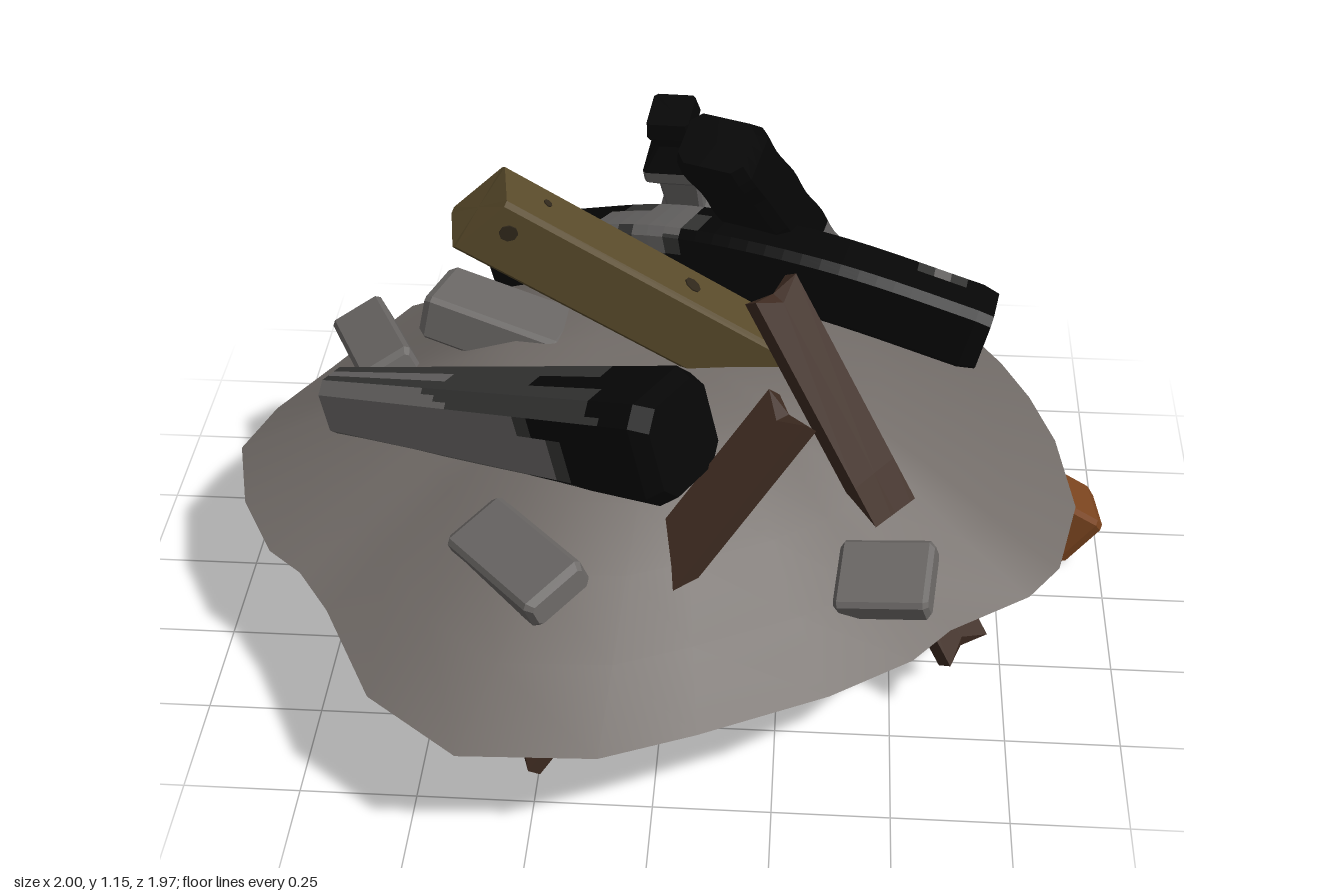
import * as THREE from 'three';

const V3 = (x, y, z) => new THREE.Vector3(x, y, z);
const mat = (name, color, extra = {}) => Object.assign(new THREE.MeshStandardMaterial({ color, ...extra }), { name });

// Chamfered rectangle: sides 0 +u, 2 +v, 4 -u, 6 -v; odd sides are chamfers
function chamfered(a, b, c) {
  return [[a, c - b], [a, b - c], [a - c, b], [c - a, b], [-a, b - c], [-a, c - b], [c - a, -b], [a - c, -b]];
}

// Cut every side of a profile into three, for finer patches of colour
const finer = prof => prof.flatMap(([u, v], j) => {
  const [p, q] = prof[(j + 1) % prof.length];
  return [0, 1 / 3, 2 / 3].map(t => [u + (p - u) * t, v + (q - v) * t]);
});

// Right-handed frame with d along the part and u close to the hint
function frame(dir, hint) {
  const d = dir.clone().normalize();
  const u = hint.clone().addScaledVector(d, -hint.dot(d)).normalize();
  return { d, u, v: d.clone().cross(u) };
}

const place = (p, f, u, v, d = 0) => p.clone().addScaledVector(f.u, u).addScaledVector(f.v, v).addScaledVector(f.d, d);

// Skin a row of rings; pick(i, j, point) gives the material index of each cell
function loft(name, rings, mats, pick = () => 0) {
  const buckets = mats.map(() => []);
  const n = rings[0].length;
  const tri = (m, ...ps) => ps.forEach(p => buckets[m].push(p.x, p.y, p.z));
  for (let i = 0; i < rings.length - 1; i++) {
    for (let j = 0; j < n; j++) {
      const k = (j + 1) % n, m = pick(i, j, rings[i][j].clone().lerp(rings[i + 1][k], 0.5));
      tri(m, rings[i][j], rings[i][k], rings[i + 1][k]);
      tri(m, rings[i][j], rings[i + 1][k], rings[i + 1][j]);
    }
  }
  [0, rings.length - 1].forEach((r, end) => {
    const c = V3(0, 0, 0);
    rings[r].forEach(p => c.addScaledVector(p, 1 / n));
    for (let j = 0; j < n; j++) {
      const k = (j + 1) % n, m = pick(end ? r : -1, j, rings[r][j]);
      if (end) tri(m, c, rings[r][j], rings[r][k]);
      else tri(m, c, rings[r][k], rings[r][j]);
    }
  });
  const geo = new THREE.BufferGeometry();
  geo.setAttribute('position', new THREE.Float32BufferAttribute(buckets.flat(), 3));
  let start = 0;
  buckets.forEach((b, m) => {
    if (b.length) geo.addGroup(start, b.length / 3, m);
    start += b.length / 3;
  });
  geo.computeVertexNormals();
  const mesh = new THREE.Mesh(geo, mats);
  mesh.name = name;
  return mesh;
}

// Straight part; stations are [t, profile]
function straight(name, a, b, hint, stations, mats, pick) {
  const f = frame(b.clone().sub(a), hint);
  const rings = stations.map(([t, prof]) => prof.map(([u, v, d]) => place(a.clone().lerp(b, t), f, u, v, d || 0)));
  return loft(name, rings, mats, pick);
}

// Ash patches: light in the middle, soot at the edge; each blob is [x, y, z, radius]
const patches = blobs => (i, j, p) => {
  const q = Math.min(...blobs.map(([x, y, z, r]) => p.distanceTo(V3(x, y, z)) / r));
  return q < 0.75 ? 2 : q < 1 ? 1 : 0;
};

export function createModel() {
  const g = new THREE.Group();
  g.name = 'rubblePile';
  const dirt = mat('ash mound', 0x736d69, { side: THREE.DoubleSide });
  const stone = mat('stone', 0x6b6866);
  const black = mat('charred black', 0x060606);
  const soot = mat('soot grey', 0x343433);
  const ash = mat('ash grey', 0x666463);
  const olive = mat('weathered wood', 0x5a4b2b);
  const orange = mat('fresh wood', 0x7a441f);
  const brown = mat('dark wood', 0x3e2b21);
  const rust = mat('nail', 0x30281b);
  const char = [black, soot, ash];

  // Mound: open shell with an irregular rim
  const rim = [[0.16, -0.99], [-0.05, -0.98], [-0.3, -0.93], [-0.39, -0.9], [-0.48, -0.75], [-0.7, -0.62],
    [-0.85, -0.34], [-0.95, -0.16], [-1, 0], [-0.95, 0.2], [-0.86, 0.37], [-0.78, 0.44], [-0.7, 0.56],
    [-0.57, 0.82], [-0.37, 0.98], [-0.09, 0.97], [0.1, 0.89], [0.36, 0.76], [0.53, 0.64], [0.61, 0.54],
    [0.78, 0.42], [0.85, 0.32], [0.9, 0.1], [0.87, -0.15], [0.82, -0.32], [0.76, -0.46], [0.66, -0.63], [0.36, -0.84]];
  const levels = [[0.18, 0.675], [0.36, 0.66], [0.5, 0.605], [0.65, 0.53], [0.82, 0.435], [1, 0.345]];
  const pos = [0, 0.68, 0], idx = [], n = rim.length;
  levels.forEach(([t, y], r) => rim.forEach(([x, z], j) => {
    pos.push(x * t, y, z * t);
    const k = (j + 1) % n, p = 1 + r * n;
    if (r === 0) idx.push(0, p + j, p + k);
    else idx.push(p - n + j, p + j, p + k, p - n + j, p + k, p - n + k);
  }));
  const shell = new THREE.BufferGeometry();
  shell.setAttribute('position', new THREE.Float32BufferAttribute(pos, 3));
  shell.setIndex(idx);
  shell.computeVertexNormals();
  const mound = new THREE.Mesh(shell, dirt);
  mound.name = 'mound';
  g.add(mound);

  // Long beam: weathered above, fresh below, with a weathered end face
  const a = V3(-0.4, 1.095, 0.14), b = V3(0.95, 0.065, -0.185), hint = V3(0, 0, 1);
  const sec = chamfered(0.068, 0.08, 0.01);
  const notched = sec.map(([u, v]) => [u, v, v > 0 ? -0.01 : 0.015]);
  g.add(straight('longBeam', a, b, hint, [[0, notched], [0.62, sec], [0.985, sec], [1, chamfered(0.06, 0.07, 0.01)]],
    [olive, orange], i => (i === 1 || i === 2 ? 1 : 0)));
  const bf = frame(b.clone().sub(a), hint);
  for (const [t, side, r, onTop] of [[0.29, 0, 0.02, 1], [0.07, -0.01, 0.01, 1], [0.035, -0.02, 0.02, 0]]) {
    const nail = new THREE.Mesh(new THREE.CylinderGeometry(r, r, 0.006, 8), rust);
    const out = onTop ? bf.v.clone().negate() : bf.u;
    nail.position.copy(a.clone().lerp(b, t)).addScaledVector(out, onTop ? 0.08 : 0.068)
      .addScaledVector(onTop ? bf.u : bf.v, side);
    nail.quaternion.setFromUnitVectors(V3(0, 1, 0), out);
    nail.name = 'nail';
    g.add(nail);
  }

  // Two thin planks with notched ends
  const plank = (a, b, hint, w, h = 0.02) => {
    const p = s => [[w, -h], [w, h], [0, h, s], [-w, h], [-w, -h], [0, -h, s]];
    g.add(straight('plank', a, b, hint, [[0, p(0.035)], [0.5, p(0)], [1, p(-0.035)]], [brown]));
  };
  plank(V3(0.21, 0.95, 0.19), V3(0.65, 0.19, 0.42), V3(0.75, 0, -0.66), 0.06);
  plank(V3(0.265, 0.815, 0.43), V3(-0.28, 0.135, 0.74), V3(0.67, 0, 0.74), 0.065);

  // Upright charred beam with an ash patch along one edge
  const upright = Array.from({ length: 29 }, (_, i) => {
    const w = i % 28 ? 0.002 * Math.sin(i * 1.1) : -0.01;
    return [i / 28, finer(chamfered(0.09 + w, 0.07 + w, 0.022))];
  });
  g.add(straight('uprightCharredBeam', V3(0.08, 1.105, -0.14), V3(0.4, 0.3, -0.7), V3(0.9, 0, 0.4), upright, char,
    patches([[0.34, 0.67, -0.48, 0.08], [0.35, 0.73, -0.42, 0.06], [0.38, 0.56, -0.52, 0.05]])));

  // Bent charred beam swept along an arch
  const arch = new THREE.CatmullRomCurve3([V3(-0.46, 0.46, -0.7), V3(-0.25, 0.62, -0.48), V3(0, 0.73, -0.32),
    V3(0.3, 0.745, -0.2), V3(0.69, 0.65, -0.135)]);
  const bent = Array.from({ length: 37 }, (_, i) => {
    const f = frame(arch.getTangentAt(i / 36), V3(0, 1, 0)), s = i % 36 ? 1 : 0.92;
    return finer(chamfered(0.08 * s, 0.072 * s, 0.018)).map(([u, v]) => place(arch.getPointAt(i / 36), f, u, v));
  });
  g.add(loft('bentCharredBeam', bent, char, patches([[-0.05, 0.79, -0.33, 0.1], [-0.14, 0.75, -0.38, 0.07],
    [0.58, 0.73, -0.22, 0.075], [0.6, 0.65, -0.23, 0.07], [-0.45, 0.53, -0.72, 0.06], [-0.24, 0.62, -0.55, 0.05]])));

  // Tapered beam: ash at its thin end, charred at its thick end and underneath
  const tapered = Array.from({ length: 25 }, (_, i) => {
    const t = i / 24, e = i === 24 ? 0.85 : 1;
    return [t, finer(chamfered((0.07 + 0.05 * t) * e, (0.055 + 0.065 * t) * e, 0.025 + 0.012 * t))];
  });
  g.add(straight('ashenBeam', V3(-0.75, 0.52, 0.045), V3(0.05, 0.78, 0.49), V3(0, 1, 0), tapered, char, (i, j) => {
    const side = Math.floor(j / 3), t = i / 24 + 0.04 * Math.sin(j * 2.3);
    if (side === 4 || side === 5) return 0;
    if (side === 2 || side === 3) return t < 0.66 ? 2 : t < 0.7 ? 1 : 0;
    if (side === 1) return t < 0.35 ? 2 : t < 0.82 ? 1 : 0;
    if (side === 0) {
      if (j === 1) return t < 0.4 ? 2 : t < 0.65 ? 1 : 0;
      return t < 0.78 ? 1 : 0;
    }
    if (side === 7) return t > 0.15 && t < 0.3 ? 1 : 0;
    const wave = Math.sin(i * 0.75 + j * 0.6);
    return t > 0.75 ? 0 : wave > 0.5 ? 2 : wave > 0 ? 1 : 0;
  }));

  // Square turned baluster: [distance along / length, half width]
  const turned = [[0, 0.05], [0.07, 0.055], [0.13, 0.04], [0.22, 0.075], [0.27, 0.075], [0.32, 0.05], [0.48, 0.045],
    [0.56, 0.08], [0.6, 0.08], [0.67, 0.045], [0.8, 0.06], [0.87, 0.075], [1, 0.07]];
  g.add(straight('baluster', V3(-0.045, 0.96, -0.55), V3(0.03, 0.36, -0.74), V3(1, 0, 0.15),
    turned.map(([t, w]) => [t, chamfered(w, w, 0.008)]), char, i => (i >= 3 && i < 8 ? 2 : 0)));

  // Flat stones sunk in the slope: centre, long axis, face normal, length, width, thickness
  const stones = [
    [V3(-0.7, 0.51, -0.18), V3(0.13, 0.05, 0.31), V3(-0.45, 0.85, -0.1), 0.33, 0.13, 0.1],
    [V3(-0.4, 0.64, -0.11), V3(0.3, -0.06, 0.08), V3(-0.05, 1, -0.1), 0.33, 0.17, 0.11],
    [V3(-0.285, 0.53, 0.595), V3(0.2, 0.02, 0.24), V3(-0.1, 0.85, 0.4), 0.32, 0.15, 0.07],
    [V3(0.47, 0.47, 0.535), V3(0.2, 0.04, 0.04), V3(0.3, 0.85, 0.4), 0.2, 0.16, 0.065]];
  for (const [c, d, up, len, w, h] of stones) {
    const half = d.clone().normalize().multiplyScalar(len / 2);
    const full = chamfered(h / 2, w / 2, 0.01), small = chamfered(h / 2 - 0.01, w / 2 - 0.01, 0.008);
    g.add(straight('stone', c.clone().sub(half), c.clone().add(half), up,
      [[0, small], [0.05, full], [0.95, full], [1, small]], [stone]));
  }
  return g;
}
